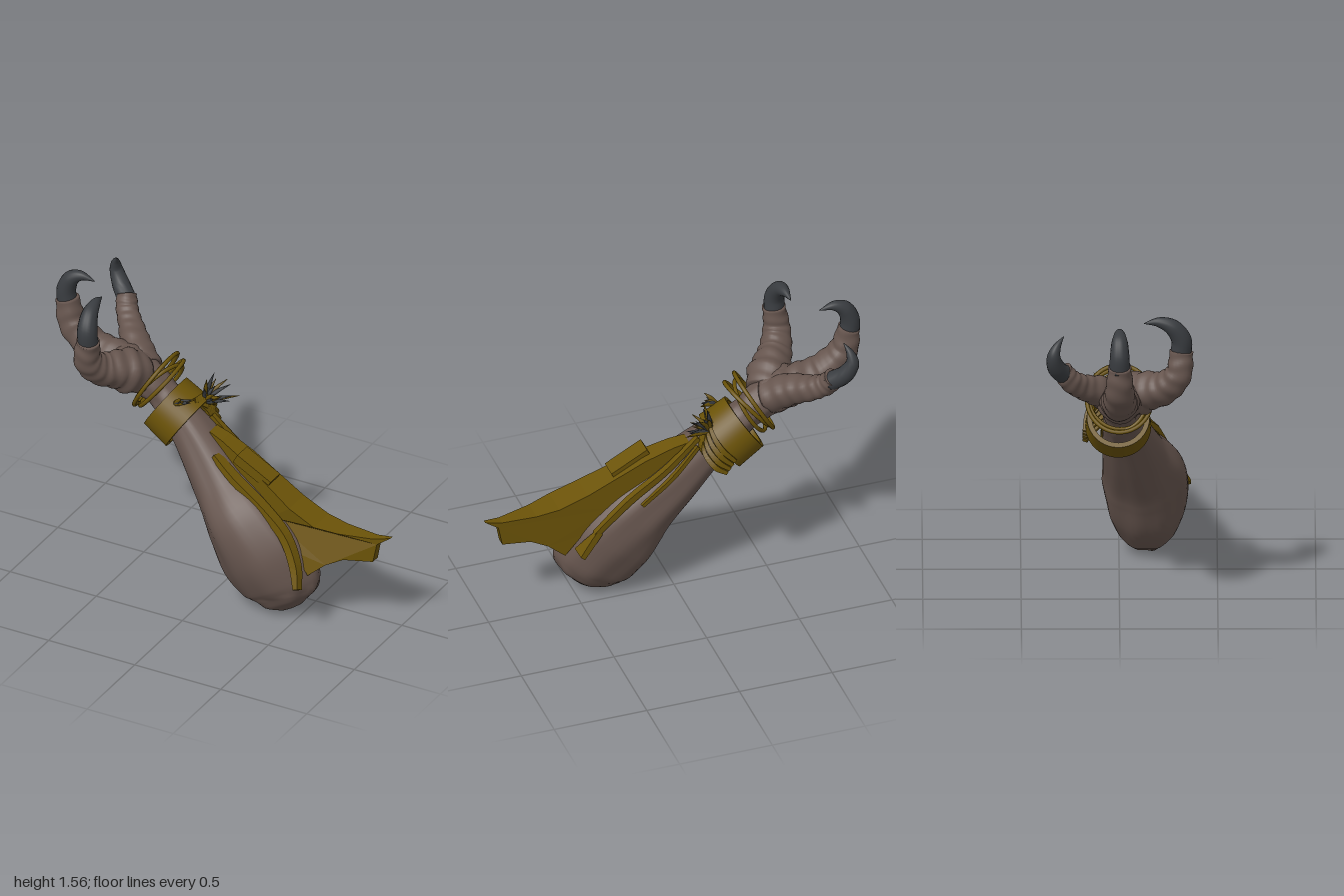
import * as THREE from 'three';
import { toCreasedNormals } from 'three/addons/utils/BufferGeometryUtils.js';

const mat = (name, color) => Object.assign(new THREE.MeshStandardMaterial({ color }), { name });
const V = (x, y, z) => new THREE.Vector3(x, y, z);

// Lofts ellipses (or boxes when sides = 4) along points [x, y, z, halfInPlane, halfAcross].
function loft(pts, { sides = 24, steps = 40, ref = V(0, 0, 1), bump = () => 0 } = {}) {
  const path = new THREE.CatmullRomCurve3(pts.map(p => V(p[0], p[1], p[2])));
  const size = new THREE.CatmullRomCurve3(pts.map(p => V(p[3], p[4] ?? p[3], 0)));
  const pos = [], idx = [];
  const box = sides === 4, k = box ? Math.SQRT2 : 1;
  for (let i = 0; i <= steps; i++) {
    const s = i / steps, c = path.getPoint(s), r = size.getPoint(s), t = path.getTangent(s);
    const n = ref.clone().cross(t).normalize(), b = t.clone().cross(n);
    for (let j = 0; j < sides; j++) {
      const a = (j + (box ? 0.5 : 0)) / sides * Math.PI * 2, m = k * (1 + bump(s, a));
      const p = c.clone().addScaledVector(n, Math.cos(a) * r.x * m).addScaledVector(b, Math.sin(a) * r.y * m);
      pos.push(p.x, Math.max(p.y, 0), p.z);
      if (i < steps) {
        const j2 = (j + 1) % sides, A = i * sides + j, B = i * sides + j2;
        idx.push(A, B, A + sides, B, B + sides, A + sides);
      }
    }
  }
  // end caps
  const last = steps * sides, c0 = pos.length / 3;
  for (const s of [0, 1]) pos.push(...path.getPoint(s).toArray());
  for (let j = 0; j < sides; j++) {
    const j2 = (j + 1) % sides;
    idx.push(c0, j2, j, c0 + 1, last + j, last + j2);
  }
  let g = new THREE.BufferGeometry();
  g.setAttribute('position', new THREE.Float32BufferAttribute(pos, 3));
  g.setIndex(idx);
  if (box) g = g.toNonIndexed();
  g.computeVertexNormals();
  return g;
}

export function createModel() {
  const model = new THREE.Group();
  const skin = mat('skin', 0x66554e), gold = mat('darkGold', 0x6b5308), horn = mat('horn', 0x393c40);
  const add = (name, geo, material, parent = model) => {
    const m = new THREE.Mesh(geo, material);
    m.name = name;
    parent.add(m);
    return m;
  };

  // Forearm, wrist and palm in one lumpy sweep
  add('forearm', loft([
    [-0.70, 1.15, 0, 0.05, 0.06], [-0.60, 1.13, 0.01, 0.1, 0.13], [-0.49, 1.08, 0, 0.1, 0.1],
    [-0.38, 1.0, 0, 0.085, 0.085], [-0.3, 0.93, 0.01, 0.095, 0.09], [-0.19, 0.84, 0.03, 0.115, 0.115],
    [0.01, 0.63, 0.08, 0.16, 0.165], [0.17, 0.48, 0.125, 0.215, 0.215], [0.29, 0.33, 0.14, 0.25, 0.21],
    [0.39, 0.18, 0.145, 0.225, 0.165], [0.43, 0.1, 0.155, 0.15, 0.11], [0.45, 0.065, 0.16, 0.06, 0.05],
  ], {
    sides: 48, steps: 80,
    bump: (s, a) => 0.02 * Math.sin(5 * a + 9 * s) + 0.015 * Math.sin(9 * a - 14 * s)
      + (s < 0.4 ? 0.025 * Math.sin(s * 90 + Math.sin(3 * a)) : 0) + (s > 0.85 ? 0.03 * Math.sin(7 * a) : 0),
  }), skin);

  // Fingers with wrinkled knuckles, each ending in a hooked claw
  const X = V(1, 0, 0), Z = V(0, 0, 1);
  const digits = [
    ['front', X,
      [[-0.5, 1.1, 0.02, 0.1], [-0.57, 1.16, 0.13, 0.1], [-0.63, 1.2, 0.23, 0.083], [-0.66, 1.28, 0.3, 0.07], [-0.65, 1.4, 0.315, 0.06]],
      [[-0.65, 1.37, 0.31, 0.054], [-0.655, 1.46, 0.315, 0.052], [-0.665, 1.53, 0.27, 0.043], [-0.67, 1.56, 0.2, 0.026], [-0.675, 1.555, 0.125, 0.002]]],
    ['middle', Z,
      [[-0.5, 1.08, 0, 0.1], [-0.64, 1.13, 0, 0.1], [-0.79, 1.17, 0, 0.088], [-0.91, 1.27, 0, 0.075], [-0.945, 1.41, 0, 0.058]],
      [[-0.945, 1.38, 0, 0.053], [-0.95, 1.46, 0, 0.05], [-0.92, 1.53, 0, 0.042], [-0.865, 1.56, 0, 0.026], [-0.785, 1.55, 0, 0.002]]],
    ['back', X,
      [[-0.5, 1.1, -0.02, 0.09], [-0.6, 1.17, -0.1, 0.08], [-0.68, 1.22, -0.19, 0.065], [-0.735, 1.27, -0.25, 0.058], [-0.76, 1.33, -0.29, 0.05]],
      [[-0.745, 1.3, -0.275, 0.05], [-0.81, 1.36, -0.32, 0.046], [-0.845, 1.43, -0.335, 0.035], [-0.84, 1.48, -0.32, 0.022], [-0.815, 1.53, -0.285, 0.002]]],
  ];
  for (const [name, ref, finger, claw] of digits) {
    add(name + 'Finger', loft(finger, {
      ref, steps: 48, bump: (s, a) => 0.035 * Math.sin(s * 45 + Math.sin(2 * a)) + 0.03 * Math.sin(4 * a + 6 * s),
    }), skin);
    add(name + 'Claw', loft(claw, { ref, sides: 16, steps: 28 }), horn);
  }

  // Wide cuff round the wrist
  const cuff = new THREE.LatheGeometry(
    [[0.14, -0.08], [0.168, -0.08], [0.16, 0.08], [0.135, 0.08], [0.14, -0.08]].map(p => new THREE.Vector2(...p)), 40);
  const cuffMesh = add('wristCuff', toCreasedNormals(cuff, 0.7), gold);
  cuffMesh.position.set(-0.31, 0.915, -0.005);
  cuffMesh.rotation.z = 0.985;

  // Thin loose bangles
  [[-0.43, 1.075, 0.06, 0.0], [-0.395, 1.06, -0.1, 0.1], [-0.41, 1.05, 0.02, -0.25]].forEach(([x, y, tilt, roll], i) => {
    const holder = new THREE.Group();
    holder.name = 'bangle' + (i + 1);
    holder.position.set(x, y, 0);
    holder.rotation.z = 0.985 + tilt;
    const ring = add('bangleRing', new THREE.TorusGeometry(0.175 - i * 0.012, 0.011, 8, 48), gold, holder);
    ring.rotation.x = Math.PI / 2 + roll;
    ring.scale.y = 0.95;
    model.add(holder);
  });

  // Elbow blade: extruded outline whose thickness and offset vary along x
  const outline = [[-0.08, 0.9], [0, 0.88], [0.15, 0.82], [0.3, 0.74], [0.45, 0.66], [0.6, 0.6], [0.72, 0.58], [0.9, 0.575],
    [0.99, 0.592], [0.92, 0.545], [0.9, 0.44], [0.75, 0.43], [0.66, 0.385], [0.57, 0.31], [0.48, 0.42], [0.33, 0.56], [0.1, 0.74], [-0.06, 0.85]];
  const blade = new THREE.ExtrudeGeometry(new THREE.Shape(outline.map(p => new THREE.Vector2(...p))),
    { depth: 1, bevelEnabled: false });
  const bp = blade.attributes.position;
  for (let i = 0; i < bp.count; i++) {
    const x = bp.getX(i), l = THREE.MathUtils.lerp, f = THREE.MathUtils.clamp((x + 0.08) / 0.63, 0, 1);
    const g = THREE.MathUtils.clamp((x - 0.57) / 0.42, 0, 1);
    const mid = l(0.03, 0.13, f) - 0.04 * g, half = l(0.04, 0.085, f) - 0.075 * g;
    bp.setZ(i, mid + (bp.getZ(i) - 0.5) * 2 * half);
  }
  blade.computeVertexNormals();
  add('elbowBlade', blade, gold);

  // Raised plate on the blade
  const plate = add('bladePlate', new THREE.BoxGeometry(0.22, 0.055, 0.1), gold);
  plate.position.set(0.21, 0.785, 0.1);
  plate.rotation.z = -0.5;

  // Straps lying on the forearm
  const strap = (name, pts) => add(name, loft(pts, { sides: 4, steps: 20 }), gold);
  strap('frontStrap', [[-0.01, 0.81, 0.13, 0.015, 0.025], [0.12, 0.735, 0.17, 0.018, 0.03], [0.3, 0.63, 0.2, 0.02, 0.03],
    [0.45, 0.52, 0.235, 0.022, 0.028], [0.54, 0.4, 0.29, 0.022, 0.026], [0.585, 0.3, 0.35, 0.015, 0.02]]);
  strap('backStrap', [[-0.12, 0.935, -0.03, 0.012, 0.014], [0.05, 0.78, -0.035, 0.015, 0.018],
    [0.25, 0.63, -0.03, 0.018, 0.018], [0.43, 0.46, -0.025, 0.015, 0.015]]);
  strap('backStrapThin', [[-0.11, 0.9, -0.06, 0.01, 0.01], [0.03, 0.76, -0.08, 0.012, 0.012], [0.2, 0.62, -0.085, 0.01, 0.008]]);
  // arrow-shaped end of the rear strap
  strap('strapArrow', [[0.41, 0.47, -0.03, 0.018, 0.008], [0.46, 0.42, -0.032, 0.018, 0.025], [0.52, 0.36, -0.035, 0.015, 0.045]]);

  // Overlapping leaf strips wrapping the back of the cuff
  for (let i = 0; i < 4; i++) {
    const d = i * 0.035;
    strap('cuffLeaf', [[-0.19 + d * 0.3, 1.03 - d * 0.5, 0.03 - d * 0.5, 0.008, 0.012], [-0.17 + d * 0.4, 1.0 - d, -0.07, 0.01, 0.03],
      [-0.2 + d * 0.3, 0.93 - d, -0.145, 0.014, 0.025], [-0.27 + d * 0.4, 0.85 - d * 0.6, -0.175, 0.01, 0.012]]);
  }

  // Frayed tufts above the cuff
  const tuft = (name, x, y, z, n, len) => {
    for (let i = 0; i < n; i++) {
      const a = Math.sin(i * 12.9) * 0.7, w = Math.sin(i * 7.3 + 1) * 0.45, h = len * (0.75 + 0.25 * Math.sin(i * 5.1));
      const dx = Math.sin(0.75 + a * 0.8) * h, dy = Math.cos(0.75 + a * 0.8) * h;
      add(name, loft([[x, y, z, 0.014], [x + dx * 0.5, y + dy * 0.6, z + w * h * 0.5, 0.011], [x + dx, y + dy, z + w * h, 0.001]],
        { sides: 5, steps: 6 }), i % 2 ? horn : gold);
    }
  };
  tuft('rearTuft', -0.18, 0.98, -0.06, 18, 0.17);
  tuft('frontTuft', -0.26, 1.03, 0.1, 7, 0.1);

  return model;
}
